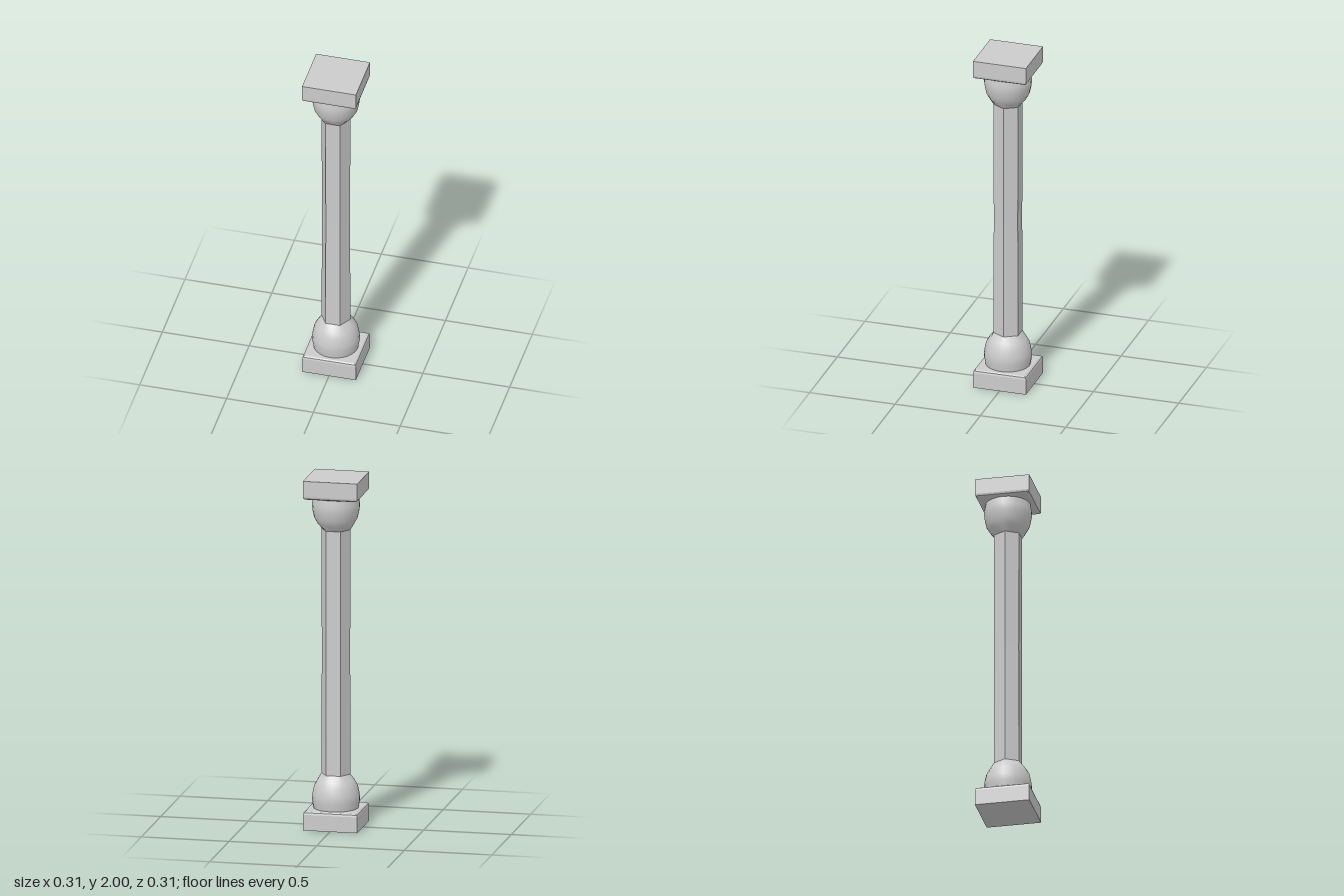
import * as THREE from 'three';
import { mergeVertices } from 'three/addons/utils/BufferGeometryUtils.js';

const SHAFT_R = 0.083;
const APOTHEM = SHAFT_R * Math.cos(Math.PI / 6);

const pts = (list) => list.map(([r, y]) => new THREE.Vector2(r, y));

// Square slab with a small rounded edge around its inner face
function plinthGeometry() {
  const profile = [[0, 0], [0.155, 0], [0.155, 0.09], [0.152, 0.101], [0.143, 0.107], [0, 0.107]]
    .map(([h, y]) => [h * Math.SQRT2, y]);
  const g = new THREE.LatheGeometry(pts(profile), 4, Math.PI / 4).toNonIndexed();
  g.computeVertexNormals();
  return g;
}

// Round bulb whose narrow end becomes the hexagon of the shaft
function bulbGeometry() {
  const profile = [[0.125, 0.1], [0.134, 0.15], [0.132, 0.185], [0.122, 0.232], [0.103, 0.266], [SHAFT_R, 0.3]];
  const g = new THREE.LatheGeometry(pts(profile), 24);
  const p = g.attributes.position;
  const step = Math.PI / 3;
  for (let i = 0; i < p.count; i++) {
    if (p.getY(i) < 0.299) continue;
    const a = Math.atan2(p.getX(i), p.getZ(i));
    const r = APOTHEM / Math.cos(a - Math.round(a / step) * step);
    p.setXYZ(i, Math.sin(a) * r, 0.3, Math.cos(a) * r);
  }
  g.deleteAttribute('uv');
  g.deleteAttribute('normal');
  const merged = mergeVertices(g);
  merged.computeVertexNormals();
  return merged;
}

// Six-sided shaft, very slightly narrower at mid height
function shaftGeometry() {
  const g = new THREE.CylinderGeometry(SHAFT_R, SHAFT_R, 1.4, 6, 2, true, Math.PI / 6);
  const p = g.attributes.position;
  for (let i = 0; i < p.count; i++) {
    if (Math.abs(p.getY(i)) < 0.1) p.setXYZ(i, p.getX(i) * 0.975, 0, p.getZ(i) * 0.975);
  }
  return g;
}

export function createModel() {
  const model = new THREE.Group();
  model.name = 'column';
  const flat = new THREE.MeshStandardMaterial({ color: 0xcccccc, flatShading: true });
  const smooth = new THREE.MeshStandardMaterial({ color: 0xcccccc, side: THREE.DoubleSide });

  const shaft = new THREE.Mesh(shaftGeometry(), flat);
  shaft.name = 'shaft';
  shaft.position.y = 1;
  model.add(shaft);

  // The capital is the base turned upside down
  const plinth = plinthGeometry();
  const bulb = bulbGeometry();
  for (const name of ['base', 'capital']) {
    const end = new THREE.Group();
    end.name = name;
    const slab = new THREE.Mesh(plinth, flat);
    slab.name = name + 'Slab';
    const round = new THREE.Mesh(bulb, smooth);
    round.name = name + 'Bulb';
    end.add(slab, round);
    if (name === 'capital') {
      end.rotation.x = Math.PI;
      end.position.y = 2;
    }
    model.add(end);
  }
  return model;
}
